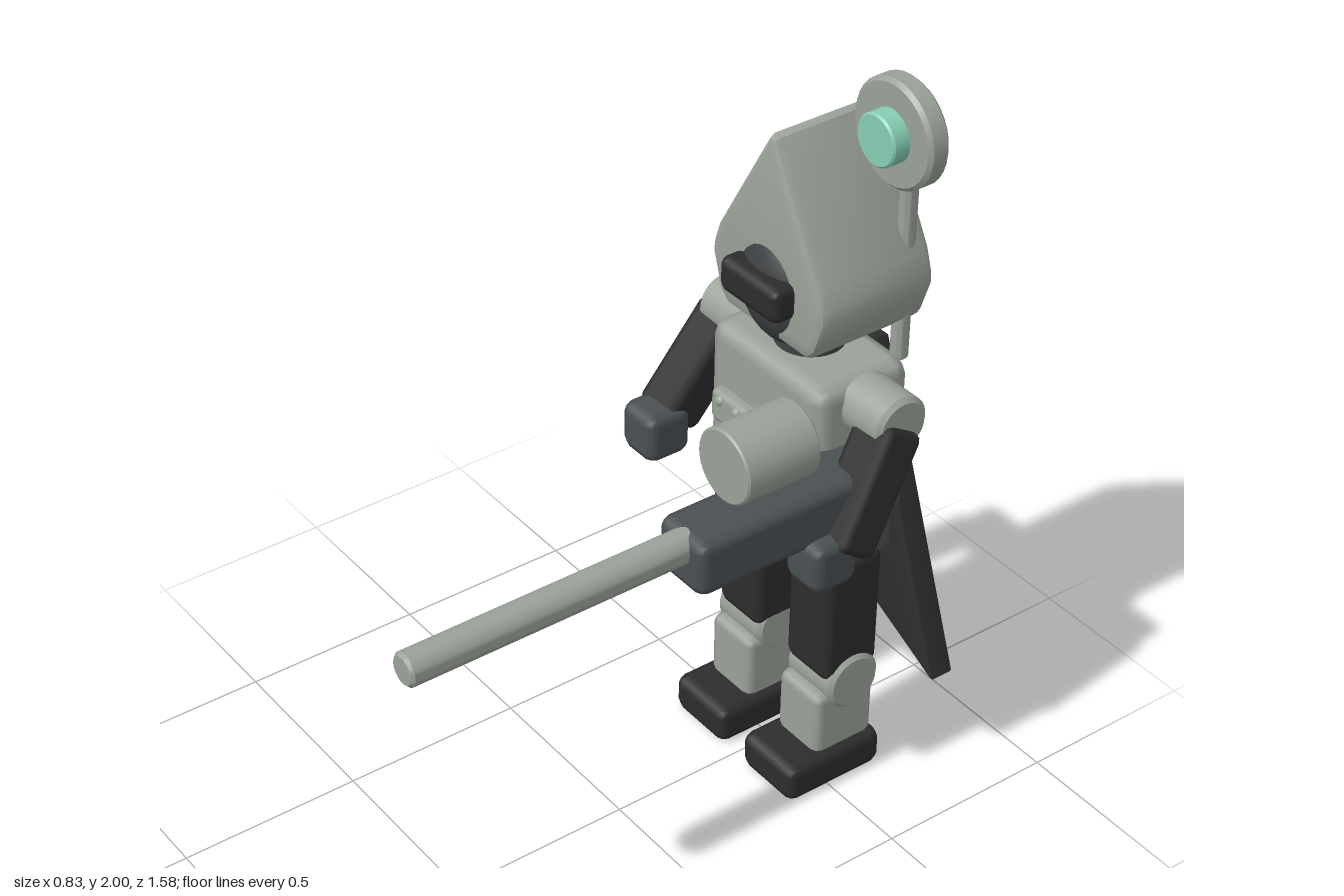
import * as THREE from 'three';
import { toCreasedNormals } from 'three/addons/utils/BufferGeometryUtils.js';
import { RoundedBoxGeometry } from 'three/addons/geometries/RoundedBoxGeometry.js';

const material = (name, color) => {
  const m = new THREE.MeshStandardMaterial({ color });
  m.name = name;
  return m;
};

export function createModel() {
  const root = new THREE.Group();
  root.name = 'armouredFigure';

  const grey = material('armourGrey', 0x9aa298);
  const slate = material('slate', 0x4a5053);
  const black = material('black', 0x2d2d2d);
  const charcoal = material('charcoal', 0x3e4143);
  const teal = material('teal', 0x86cdb3);

  const add = (name, geometry, mat, x = 0, y = 0, z = 0) => {
    const mesh = new THREE.Mesh(geometry, mat);
    mesh.name = name;
    mesh.position.set(x, y, z);
    root.add(mesh);
    return mesh;
  };
  // Chamfered box given by its lower and upper corners
  const box = (name, mat, [x0, y0, z0], [x1, y1, z1], r = 0.025) =>
    add(name, new RoundedBoxGeometry(x1 - x0, y1 - y0, z1 - z0, 1, r), mat,
      (x0 + x1) / 2, (y0 + y1) / 2, (z0 + z1) / 2);
  // Cylinder with softened rims, along the chosen axis
  const cyl = (name, mat, axis, r, len, x, y, z, b = 0.008) => {
    const h = len / 2;
    const profile = [[0, -h], [r - b, -h], [r, -h + b], [r, h - b], [r - b, h], [0, h]]
      .map(p => new THREE.Vector2(...p));
    const g = toCreasedNormals(new THREE.LatheGeometry(profile, 32), 0.6);
    if (axis === 'x') g.rotateZ(Math.PI / 2);
    if (axis === 'z') g.rotateX(Math.PI / 2);
    return add(name, g, mat, x, y, z);
  };
  // Bevelled plate cut from an outline in x and y, between two depths
  const plate = (name, mat, points, z0, z1, bevel) => {
    const shape = new THREE.Shape(points.map(p => new THREE.Vector2(...p)));
    const g = new THREE.ExtrudeGeometry(shape, {
      depth: z1 - z0 - 2 * bevel, bevelEnabled: true, bevelSize: bevel,
      bevelThickness: bevel, bevelOffset: -bevel, bevelSegments: 2,
    });
    return add(name, toCreasedNormals(g, 0.6), mat, 0, 0, z0 + bevel);
  };

  // Torso, belt and neck
  box('torso', grey, [-0.22, 0.84, -0.72], [0.22, 1.245, -0.43], 0.045);
  box('belt', slate, [-0.215, 0.665, -0.7], [0.215, 0.815, -0.445], 0.03);
  cyl('neck', charcoal, 'y', 0.09, 0.12, 0, 1.27, -0.575);

  // Chest plate and studs
  box('chestPlate', grey, [-0.17, 0.98, -0.46], [0.168, 1.075, -0.4], 0.018);
  const studGeometry = new THREE.SphereGeometry(0.016, 12, 8);
  for (const y of [0.972, 0.902, 0.832]) {
    for (let i = -2; i <= 2; i++) add('stud', studGeometry, grey, i * 0.066, y, -0.427);
  }
  for (const x of [-0.132, -0.066]) add('plateStud', studGeometry, grey, x, 1.05, -0.408);

  // Hood, face and visor
  plate('hood', grey, [
    [-0.155, 1.315], [0.155, 1.315], [0.185, 1.345], [0.217, 1.44], [0.213, 1.475],
    [0.195, 1.53], [0.014, 1.85], [-0.014, 1.85], [-0.195, 1.53], [-0.213, 1.475],
    [-0.217, 1.44], [-0.185, 1.345],
  ], -0.775, -0.43, 0.024);
  add('face', new THREE.SphereGeometry(1, 28, 18), charcoal, 0, 1.437, -0.5)
    .scale.set(0.145, 0.165, 0.1);
  box('visor', black, [-0.11, 1.405, -0.45], [0.11, 1.5, -0.37], 0.022);

  for (const s of [-1, 1]) {
    const side = s > 0 ? 'left' : 'right';
    const pair = (part, mat, lo, hi, r) => box(side + part, mat,
      s > 0 ? lo : [-hi[0], lo[1], lo[2]], s > 0 ? hi : [-lo[0], hi[1], hi[2]], r);

    // Leg
    pair('Foot', black, [0.04, 0, -0.67], [0.25, 0.11, -0.365], 0.028);
    pair('Shin', grey, [0.06, 0.09, -0.655], [0.226, 0.29, -0.465], 0.025);
    cyl(side + 'Knee', grey, 'x', 0.082, 0.18, s * 0.147, 0.308, -0.575, 0.012);
    pair('Thigh', black, [0.056, 0.33, -0.66], [0.226, 0.7, -0.487], 0.025);

    // Arm, swung forward and slightly outward
    cyl(side + 'Shoulder', grey, 'x', 0.078, 0.16, s * 0.275, 1.175, -0.578, 0.012);
    const top = new THREE.Vector3(s * 0.31, 1.165, -0.578);
    const end = new THREE.Vector3(s * 0.35, 0.885, -0.4);
    const dir = end.clone().sub(top);
    const arm = add(side + 'Arm', new RoundedBoxGeometry(0.13, dir.length(), 0.13, 1, 0.025), black);
    arm.position.copy(top).add(end).multiplyScalar(0.5);
    arm.quaternion.setFromUnitVectors(new THREE.Vector3(0, -1, 0), dir.normalize());
    pair('Hand', slate, [0.268, 0.81, -0.425], [0.4, 0.95, -0.292], 0.03);

    // Cape half
    const outline = [[0.02, 1.2], [0.05, 0.49], [0.372, 0.335], [0.052, 1.2]];
    plate(side + 'Cape', black, outline.map(([x, y]) => [s * x, y]), -0.787, -0.715, 0.008);
  }

  // Gun with barrel and scope
  box('gunBody', slate, [0.178, 0.92, -0.6], [0.353, 1.075, 0.022], 0.03);
  cyl('gunBarrel', grey, 'z', 0.044, 0.83, 0.265, 1.03, 0.375);
  cyl('gunScope', grey, 'z', 0.098, 0.215, 0.265, 1.207, -0.213, 0.005);

  // Back antenna with dish and lamp
  cyl('antennaRod', grey, 'y', 0.023, 0.68, 0.165, 1.56, -0.72, 0.006);
  cyl('antennaDish', grey, 'z', 0.14, 0.062, 0.165, 1.86, -0.684, 0.01);
  cyl('antennaLamp', teal, 'z', 0.068, 0.06, 0.165, 1.86, -0.635, 0.005);

  return root;
}
